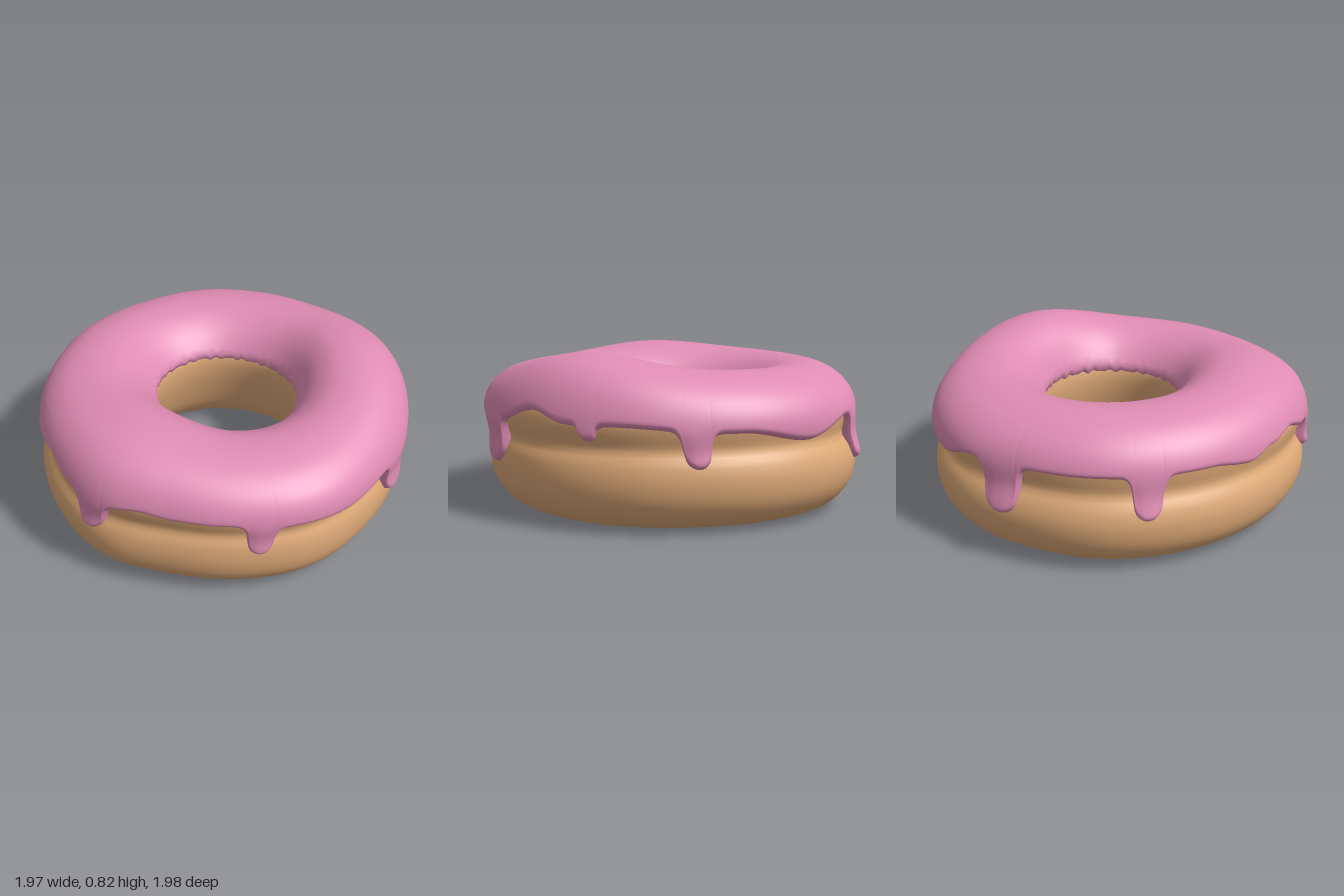
import * as THREE from 'three';

const { smoothstep, degToRad, euclideanModulo, lerp, clamp } = THREE.MathUtils;

// Rim radius every 22.5 degrees and top height every 45, from +x towards +z
const OUTER = [0.99, 0.998, 0.967, 0.953, 0.99, 0.968, 0.957, 0.966,
  0.988, 0.992, 1.018, 1.01, 0.995, 1.003, 1.01, 1.0];
const HEIGHT = [0.74, 0.73, 0.778, 0.748, 0.738, 0.735, 0.753, 0.822];

// Icing hem height by angle in degrees, without the drips
const HEM = [[-180, 0.5], [-140, 0.5], [-122, 0.42], [-100, 0.48], [-65, 0.51], [-50, 0.51],
  [-38, 0.55], [-24, 0.5], [-6, 0.48], [12, 0.44], [30, 0.46], [50, 0.49], [66, 0.495],
  [75, 0.51], [87, 0.485], [102, 0.49], [113, 0.535], [124, 0.505], [133, 0.465], [148, 0.5], [180, 0.5]];

// Drips: angle, half width (degrees), lowest point
const DRIPS = [[91.8, 4.4, 0.315], [39.7, 3.5, 0.305], [-15.5, 7.2, 0.26], [-57, 2.4, 0.44],
  [-87, 3.6, 0.32], [-150, 5, 0.26], [167, 4, 0.29]];

// Smooth steps between table entries
function interp(table, x) {
  let i = 0;
  while (i < table.length - 2 && x > table[i + 1][0]) i++;
  const [x0, y0] = table[i], [x1, y1] = table[i + 1];
  return lerp(y0, y1, smoothstep(x, x0, x1));
}

// Cyclic cubic through evenly spaced values
function cyclic(values, a) {
  const n = values.length, t = euclideanModulo(a / (2 * Math.PI), 1) * n;
  const i = Math.floor(t), f = t - i;
  const [p, q, r, s] = [-1, 0, 1, 2].map(k => values[(i + k + n) % n]);
  return q + 0.5 * f * (r - p + f * (2 * p - 5 * q + 4 * r - s + f * (3 * (q - r) + s - p)));
}

// Uneven shape shared by dough and icing: lumpy rim, wavy top, off-centre oval hole
function place(r, y, a) {
  const w = smoothstep(r, 0.35, 0.95);
  const radius = r * (1 + (cyclic(OUTER, a) / 0.99 - 1) * w + 0.035 * Math.cos(2 * a) * (1 - w));
  return [
    radius * Math.cos(a) - 0.02 * (1 - smoothstep(y, 0.25, 0.5)) * w + 0.006 * (1 - w),
    y + (cyclic(HEIGHT, a) - 0.757) * smoothstep(y, 0.48, 0.75),
    radius * Math.sin(a) - 0.05 * (1 - w),
  ];
}

// Closed sweep of a cross-section that may change with the angle
function sweep(name, color, segments, section, closed) {
  const positions = [], index = [];
  let rows = 0;
  for (let i = 0; i < segments; i++) {
    const a = (i / segments) * Math.PI * 2;
    const points = section(a);
    rows = points.length;
    for (const [r, y] of points) positions.push(...place(r, y, a));
  }
  for (let i = 0; i < segments; i++) {
    const n = (i + 1) % segments;
    for (let j = 0; j < (closed ? rows : rows - 1); j++) {
      const k = (j + 1) % rows;
      const p = i * rows + j, q = i * rows + k, s = n * rows + j, t = n * rows + k;
      index.push(p, q, s, q, t, s);
    }
  }
  const geometry = new THREE.BufferGeometry();
  geometry.setAttribute('position', new THREE.Float32BufferAttribute(positions, 3));
  geometry.setIndex(index);
  geometry.computeVertexNormals();
  const material = new THREE.MeshStandardMaterial({ color });
  if (!closed) material.side = THREE.DoubleSide;
  const mesh = new THREE.Mesh(geometry, material);
  mesh.name = name;
  return mesh;
}

function curvePoints(points, count, closed) {
  const curve = new THREE.CatmullRomCurve3(points.map(([r, y]) => new THREE.Vector3(r, y, 0)), closed);
  const list = curve.getSpacedPoints(count).map(p => [p.x, Math.max(p.y, 0)]);
  if (closed) list.pop();
  return list;
}

// Hem height and how strongly a drip acts at an angle
function hemAt(a) {
  const deg = euclideanModulo(THREE.MathUtils.radToDeg(a) + 180, 360) - 180;
  const base = interp(HEM, deg);
  let y = base, drip = 0;
  for (const [centre, half, low] of DRIPS) {
    const d = degToRad(Math.abs(euclideanModulo(deg - centre + 180, 360) - 180));
    const w = degToRad(half);
    const tip = Math.min(low + w, base);
    const edge = d < w
      ? low + (tip - low) * (1 - Math.sqrt(1 - (d / w) ** 2))
      : base - (base - tip) * Math.exp(-(d - w) / 0.016);
    y = Math.min(y, edge);
    drip = Math.max(drip, 1 - smoothstep(d, 0.2 * w, 1.2 * w));
  }
  return { y, drip };
}

export function createModel() {
  const group = new THREE.Group();
  group.name = 'icedDoughnut';

  // Dough ring with a waist and a hole flaring towards the bottom
  const doughSection = curvePoints([
    [0.66, 0], [0.75, 0.004], [0.87, 0.05], [0.945, 0.14], [0.97, 0.25], [0.957, 0.34],
    [0.928, 0.4], [0.943, 0.46], [0.953, 0.53], [0.915, 0.61], [0.82, 0.68], [0.68, 0.7],
    [0.52, 0.67], [0.43, 0.61], [0.385, 0.52], [0.385, 0.43], [0.42, 0.29], [0.485, 0.13], [0.57, 0.03],
  ], 80, true);
  group.add(sweep('dough', 0xdfaa78, 160, () => doughSection, true));

  // Icing: one outline from the lowest drip over the top into the hole
  const outline = curvePoints([
    [0.99, 0.22], [0.988, 0.3], [0.974, 0.4], [0.983, 0.5], [0.968, 0.575], [0.925, 0.65],
    [0.845, 0.715], [0.74, 0.75], [0.65, 0.757], [0.55, 0.738], [0.455, 0.68], [0.395, 0.61],
    [0.367, 0.56], [0.37, 0.53], [0.395, 0.515],
  ], 240, false);
  const rows = 48;
  group.add(sweep('icing', 0xe08cb4, 900, a => {
    const { y: low, drip } = hemAt(a);
    const first = outline.findIndex(p => p[1] >= low);
    const start = first - (outline[first][1] - low) / (outline[first][1] - outline[first - 1][1]);
    // Slightly ragged inner edge
    const ragged = 0.005 * Math.sin(31 * a) + 0.003 * Math.sin(47 * a + 1);
    const points = [];
    for (let j = 0; j <= rows; j++) {
      // Rows crowd together near the hem, which rounds in to meet the dough
      const t = start + (outline.length - 1 - start) * (j / rows) ** 1.5;
      const i = Math.min(Math.floor(t), outline.length - 2);
      const r = lerp(outline[i][0], outline[i + 1][0], t - i);
      const y = lerp(outline[i][1], outline[i + 1][1], t - i);
      const lip = Math.sqrt(1 - (1 - clamp((y - low) / 0.035, 0, 1)) ** 2);
      const rim = smoothstep(r, 0.8, 0.9);
      const bulge = 0.01 * drip * lip * (1 - smoothstep(y, 0.36, 0.55));
      const inner = r < 0.5 ? 1 - smoothstep(y, 0.53, 0.6) : 0;
      points.push([r + rim * (bulge - 0.05 * (1 - lip)), y + ragged * inner]);
    }
    return points;
  }, false));

  return group;
}
